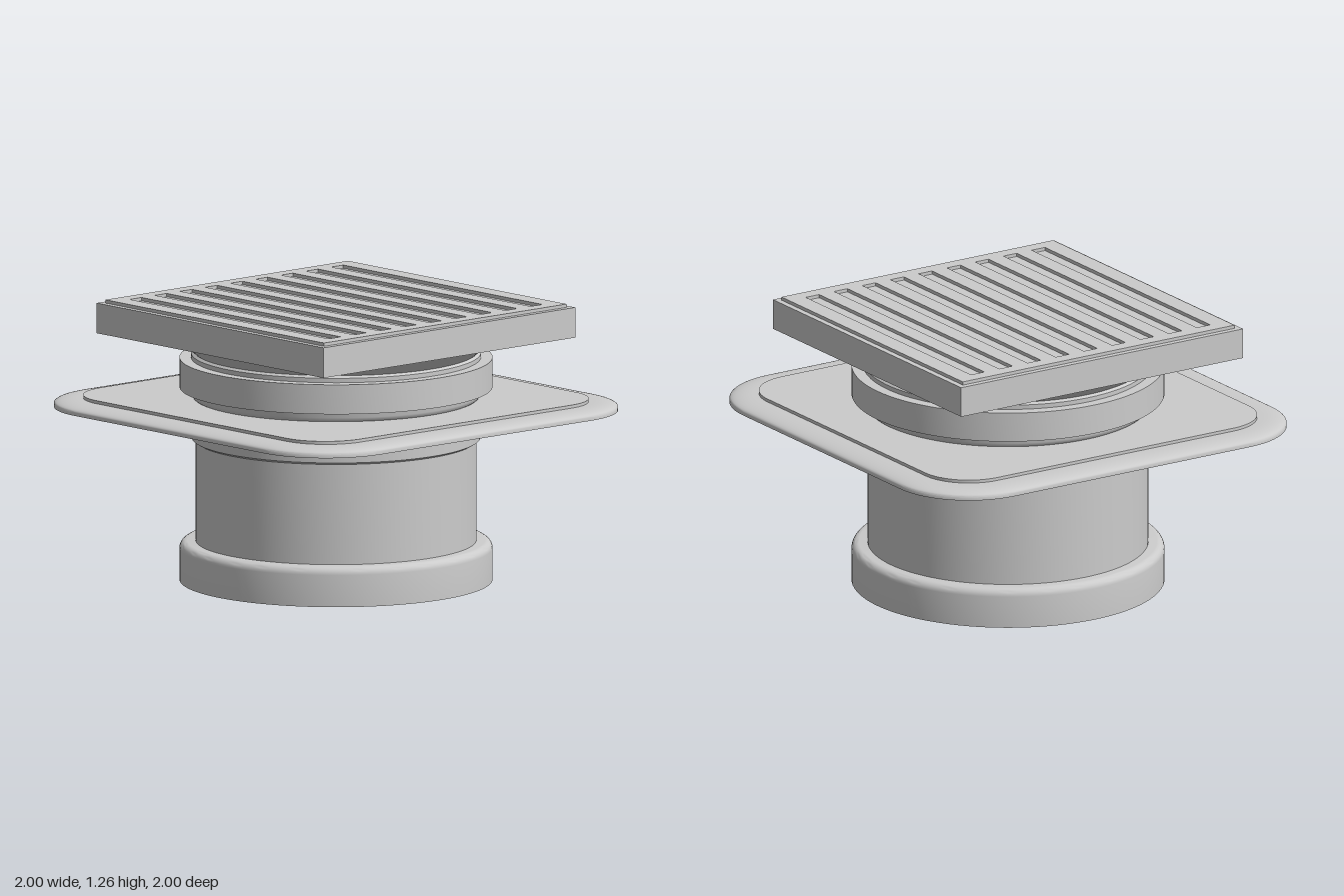
import * as THREE from 'three';
import { toCreasedNormals } from 'three/addons/utils/BufferGeometryUtils.js';

const material = new THREE.MeshStandardMaterial({ color: 0xcccccc });

function addMesh(group, name, geometry) {
  const mesh = new THREE.Mesh(geometry, material);
  mesh.name = name;
  group.add(mesh);
  return mesh;
}

// Round part turned from [radius, height] points listed bottom to top
function turned(points) {
  const profile = points.map(([r, y]) => new THREE.Vector2(r, y));
  return toCreasedNormals(new THREE.LatheGeometry(profile, 96), 0.6);
}

// Quarter-round top edge of radius b
function roundedShoulder(r, y, b) {
  return Array.from({ length: 7 }, (_, i) => {
    const a = (i / 6) * Math.PI / 2;
    return [r - b + b * Math.cos(a), y - b + b * Math.sin(a)];
  });
}

// Loft of square rings with rounded corners: levels are [half width, height]
function roundedSquareLoft(levels, cornerInset) {
  const steps = 16, n = 4 * (steps + 1), positions = [], index = [];
  for (const [half, y] of levels) {
    const c = Math.min(half, cornerInset), r = half - c;
    for (let q = 0; q < 4; q++) {
      const mid = (q + 0.5) * Math.PI / 2;
      for (let i = 0; i <= steps; i++) {
        const a = (q + i / steps) * Math.PI / 2;
        positions.push(
          Math.sign(Math.cos(mid)) * c + r * Math.cos(a), y,
          Math.sign(Math.sin(mid)) * c + r * Math.sin(a));
      }
    }
  }
  for (let l = 0; l < levels.length - 1; l++) {
    for (let i = 0; i < n; i++) {
      const j = (i + 1) % n, a = l * n, b = a + n;
      index.push(a + i, b + i, b + j, a + i, b + j, a + j);
    }
  }
  // Close the bottom and the top with fans
  const top = (levels.length - 1) * n, centre = positions.length / 3;
  positions.push(0, levels[0][1], 0, 0, levels[levels.length - 1][1], 0);
  for (let i = 0; i < n; i++) {
    const j = (i + 1) % n;
    index.push(centre, i, j, centre + 1, top + j, top + i);
  }
  const geometry = new THREE.BufferGeometry();
  geometry.setAttribute('position', new THREE.Float32BufferAttribute(positions, 3));
  geometry.setIndex(index);
  return toCreasedNormals(geometry, 0.6);
}

function rectangle(target, w, h, cy = 0) {
  target.moveTo(-w / 2, cy - h / 2);
  target.lineTo(w / 2, cy - h / 2);
  target.lineTo(w / 2, cy + h / 2);
  target.lineTo(-w / 2, cy + h / 2);
  target.closePath();
  return target;
}

export function createModel() {
  const model = new THREE.Group();
  model.name = 'floorDrain';

  // Outlet socket at the base
  addMesh(model, 'baseSocket', turned([
    [0, 0], [0.7, 0], ...roundedShoulder(0.7, 0.18, 0.035), [0, 0.18],
  ]));

  // Main pipe with its slightly wider upper sleeve
  addMesh(model, 'pipeBody', turned([
    [0.628, 0.17], [0.628, 0.635], [0.645, 0.645], [0.645, 0.79],
  ]));

  // Square sealing flange: soft outer edge and a raised inner step
  const edge = Array.from({ length: 9 }, (_, i) => {
    const a = (i / 8) * Math.PI / 2;
    return [0.9 + 0.1 * Math.cos(a), 0.793 + 0.024 * Math.sin(a)];
  });
  addMesh(model, 'flange', roundedSquareLoft([
    [1, 0.778], ...edge, [0.868, 0.817], [0.868, 0.831],
  ], 0.635));

  // Neck above the flange, flaring out to carry the grate
  addMesh(model, 'neck', turned([
    [0.63, 0.825], [0.641, 0.835], [0.647, 0.85], [0.648, 1.03],
    [0.636, 1.04], [0.7, 1.095], [0.7, 1.115],
  ]));

  // Clamping collar
  addMesh(model, 'collar', turned([
    [0.63, 0.876], [0.7, 0.876], [0.7, 1.01], [0.63, 1.01],
  ]));

  // Square grate frame
  const frame = addMesh(model, 'grateFrame', new THREE.BoxGeometry(1.515, 0.137, 1.515));
  frame.position.y = 1.1765;

  // Slotted cover plate on the frame
  const plate = rectangle(new THREE.Shape(), 1.46, 1.46);
  for (let i = -4; i <= 4; i++) {
    plate.holes.push(rectangle(new THREE.Path(), 1.33, 0.072, i * 0.1517));
  }
  const cover = addMesh(model, 'slottedCover',
    new THREE.ExtrudeGeometry(plate, { depth: 0.015, bevelEnabled: false }));
  cover.rotation.x = -Math.PI / 2;
  cover.position.y = 1.245;

  return model;
}
